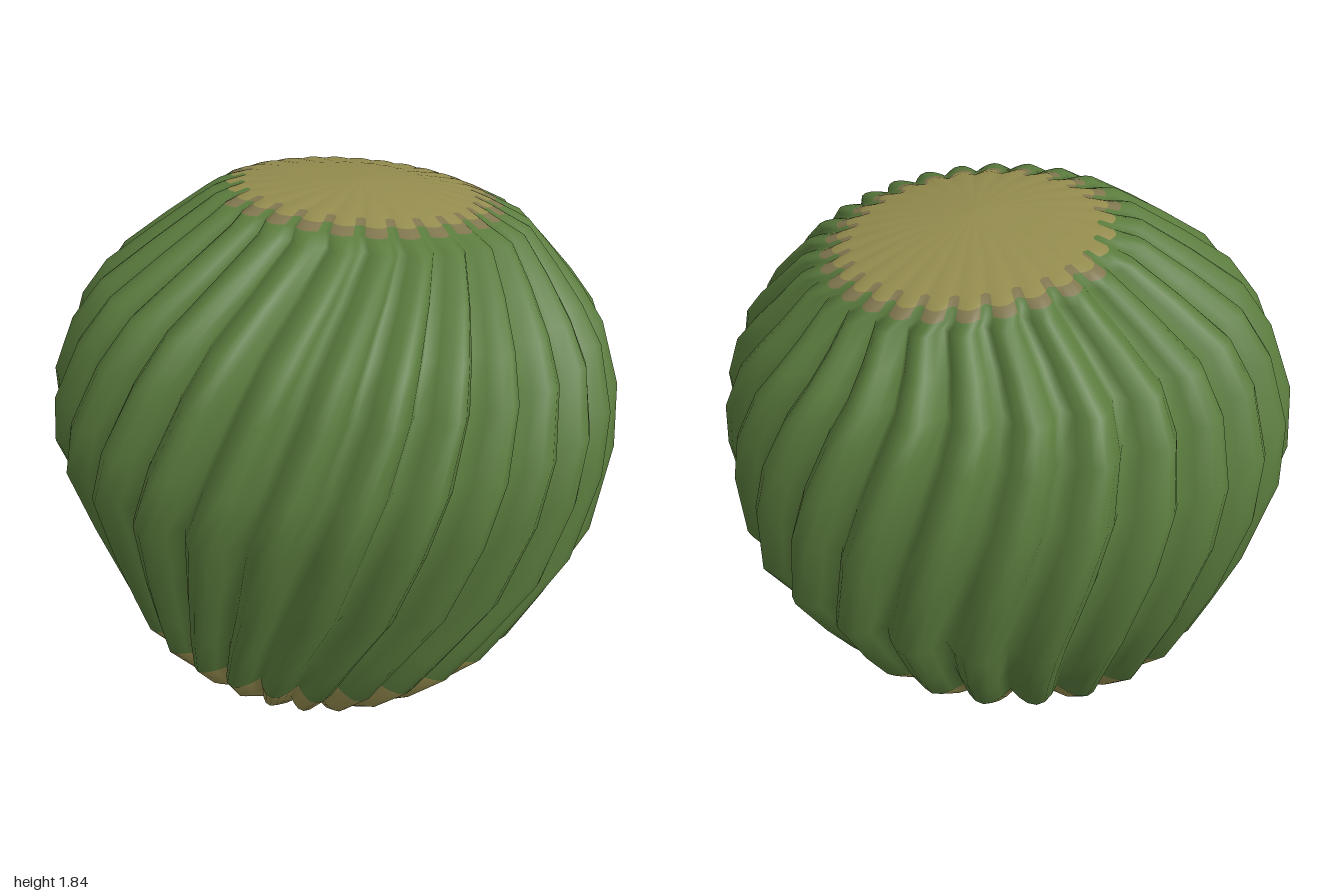
import * as THREE from 'three';

const RIBS = 28, PER_RIB = 6, COLS = RIBS * PER_RIB;

// Rings from base to crown: height, centre x, centre z, outer radius, slope along x, rib depth
const RINGS = [
  [0.00, -0.05, 0.01, 0.46, 0, 0.05],
  [0.13, -0.05, 0, 0.62, 0, 0.065],
  [0.28, -0.025, 0, 0.755, 0, 0.08],
  [0.46, 0.005, 0, 0.84, 0, 0.09],
  [0.70, 0.035, 0, 0.945, 0, 0.095],
  [1.00, 0.00, 0, 1.00, 0, 0.10],
  [1.20, 0.00, 0, 0.985, 0, 0.10],
  [1.40, 0.015, 0, 0.91, -0.02, 0.095],
  [1.52, 0.035, 0, 0.82, -0.05, 0.09],
  [1.63, 0.09, 0, 0.69, -0.08, 0.08],
  [1.73, 0.14, 0, 0.565, -0.11, 0.06],
  [1.757, 0.15, -0.035, 0.50, -0.11, 0.04],
  [1.775, 0.155, -0.04, 0.455, -0.11, 0.03],
  [1.79, 0.155, -0.04, 0.41, -0.11, 0.02],
  [1.82, 0.14, -0.02, 0.24, -0.10, 0.008],
  [1.835, 0.13, 0, 0, 0, 0],
];
const BASE_TOP = 2, RIM = 10;

// Ridge with a sharp valley on each side
const ribShape = (u) => Math.sin(Math.PI * u);

// Ribs lean strongly in front, less at the back below the middle
function ribTwist(base, y) {
  const c = Math.cos(base);
  return (y - 1) * (y > 1 ? 0.37 + 0.05 * c : 0.27 + 0.15 * c);
}

// Colour of one cell: 0 green, 1 straw, 2 brown
function cellColour(row, col) {
  const k = col % PER_RIB, rib = Math.floor(col / PER_RIB);
  const ridge = k > 0 && k < PER_RIB - 1;
  const bare = rib >= 2 && rib <= 4; // stretch of crown edge without brown
  if (row < BASE_TOP) return 1;
  if (row <= RIM) return 0;
  if (row === RIM + 1) return ridge && !bare ? 2 : 0;
  if (row === RIM + 2 && !ridge) return bare ? 0 : 2;
  return 1;
}

function bodyGeometry() {
  const pos = [];
  for (const [y, cx, cz, r, slope, depth] of RINGS) {
    for (let c = 0; c < COLS; c++) {
      const u = (c % PER_RIB) / PER_RIB;
      const even = ((c - PER_RIB / 2) / COLS) * Math.PI * 2 + 3.0;
      const base = even + 0.02 - 0.05 * Math.sin(even);
      const a = base + ribTwist(base, y);
      const rad = r - depth * (1 - ribShape(u));
      const dx = Math.sin(a) * rad;
      pos.push(cx + dx, y + slope * dx, cz + Math.cos(a) * rad);
    }
  }
  const faces = [[], [], []];
  const lastRow = RINGS.length - 2;
  for (let row = 0; row <= lastRow; row++) {
    for (let c = 0; c < COLS; c++) {
      const a = row * COLS + c, b = row * COLS + (c + 1) % COLS;
      const d = a + COLS, e = b + COLS;
      const list = faces[cellColour(row, c)];
      if (row < lastRow) list.push(a, b, e, a, e, d);
      else list.push(a, b, d);
    }
  }
  const g = new THREE.BufferGeometry();
  g.setAttribute('position', new THREE.Float32BufferAttribute(pos, 3));
  g.setIndex(faces.flat());
  let start = 0;
  faces.forEach((f, i) => {
    g.addGroup(start, f.length, i);
    start += f.length;
  });
  g.computeVertexNormals();
  return g;
}

export function createModel() {
  const material = (name, color) => {
    const m = new THREE.MeshStandardMaterial({ color, side: THREE.DoubleSide });
    m.name = name;
    return m;
  };
  const group = new THREE.Group();
  group.name = 'barrelCactus';
  // Twisted ribbed body, open underneath, with a straw base band and crown
  const body = new THREE.Mesh(bodyGeometry(), [
    material('cactusGreen', 0x5a7b3d),
    material('straw', 0x948c4e),
    material('dryBrown', 0x80764f),
  ]);
  body.name = 'ribbedBody';
  group.add(body);
  return group;
}
